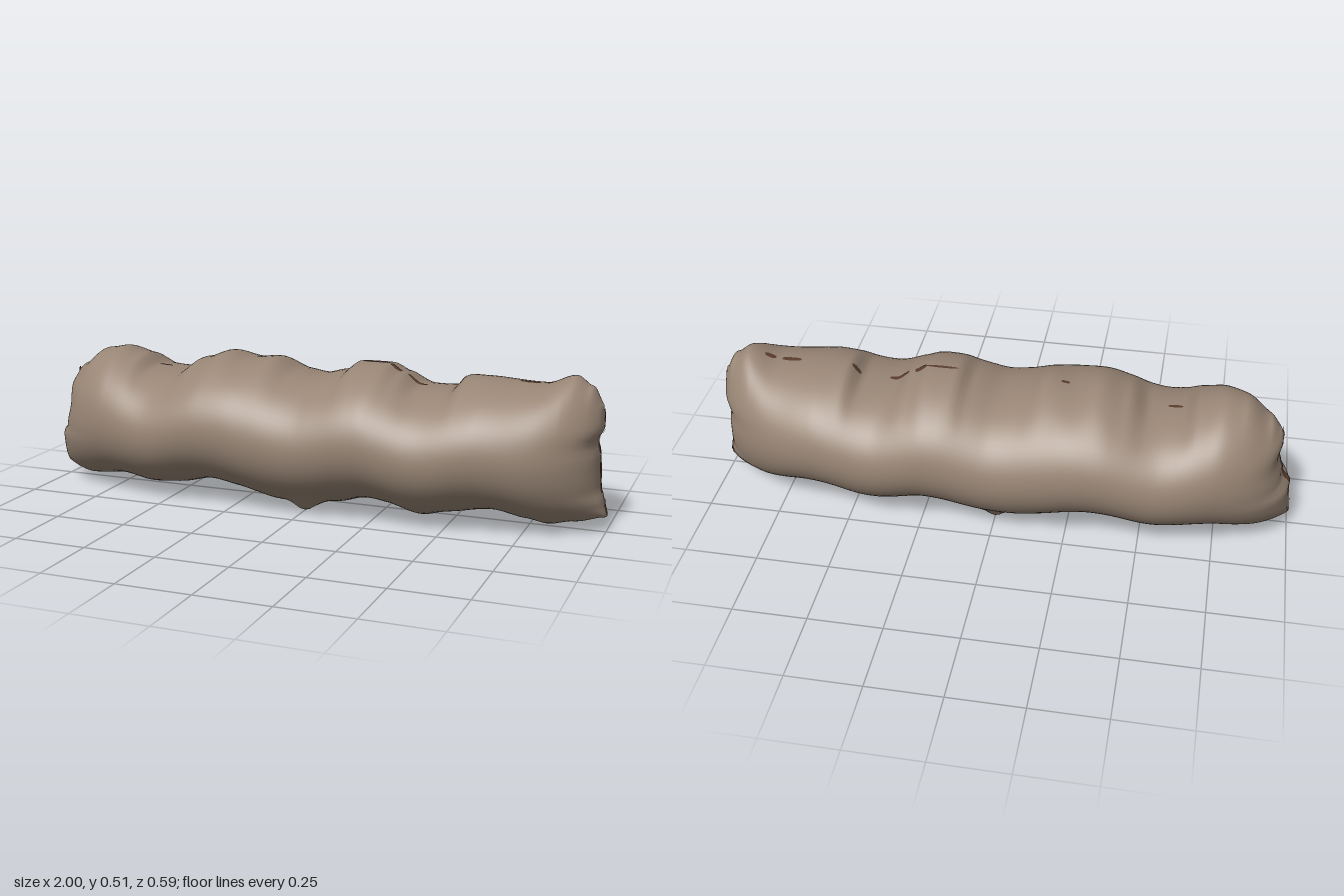
import * as THREE from 'three';
import { mergeVertices } from 'three/addons/utils/BufferGeometryUtils.js';

// outline points: [x, y] for top and bottom, [y, x] for the two ends
const TOP = [[-1, .39], [-.93, .43], [-.82, .49], [-.75, .5], [-.67, .48], [-.61, .44], [-.5, .435], [-.43, .48],
  [-.33, .51], [-.25, .49], [-.16, .5], [-.07, .46], [0, .45], [.1, .47], [.15, .505], [.25, .505], [.3, .48],
  [.37, .44], [.48, .44], [.53, .485], [.78, .475], [.89, .51], [.95, .48], [1, .42]];
const BOTTOM = [[-1, .05], [-.88, .02], [-.7, .04], [-.6, .02], [-.5, .03], [-.35, .06], [-.25, .04], [-.1, .005],
  [0, .01], [.1, .02], [.22, .05], [.3, .04], [.4, .005], [.5, .03], [.65, .055], [.75, .03], [.82, .015],
  [.9, .03], [1, .05]];
const LEFT = [[.05, 1], [.1, .99], [.15, .975], [.25, .97], [.3, .96], [.35, .98], [.42, .975]];
const RIGHT = [[.05, -1], [.18, -.99], [.22, -.96], [.3, -.94], [.36, -.95], [.4, -.94]];

// eased interpolation through a short point list
function sample(points, t) {
  if (t <= points[0][0]) return points[0][1];
  for (let i = 1; i < points.length; i++) {
    const [a, va] = points[i - 1], [b, vb] = points[i];
    if (t <= b) return THREE.MathUtils.lerp(va, vb, THREE.MathUtils.smoothstep(t, a, b));
  }
  return points[points.length - 1][1];
}

// outline averaged along x, for the surface away from the seam
function soft(points, t) {
  let sum = 0;
  for (let k = -3; k <= 3; k++) sum += sample(points, THREE.MathUtils.clamp(t + k * .03, -1, 1));
  return sum / 7;
}

// point on the padded body: s runs along the length, a goes round the section
function surface(s, a) {
  const up = Math.sin(a), w = Math.abs(up) ** 6;
  const blend = pts => THREE.MathUtils.lerp(soft(pts, s), sample(pts, s), w);
  const top = blend(TOP), bottom = blend(BOTTOM);
  let y = (top + bottom) / 2 + up * (top - bottom) / 2;
  const z = .295 * Math.sqrt(Math.max(0, 1 - s ** 4)) * Math.cos(a);
  const end = s > 0 ? sample(LEFT, y) - 1 : sample(RIGHT, y) + 1;
  const x = s + end * Math.abs(s) ** 10;
  // flattened lip under the middle
  if (up < 0) {
    const d = Math.max(0, Math.abs(z) - .14);
    y = THREE.MathUtils.lerp(y, Math.min(y, d * (1 + 4 * d)), Math.exp(-((s / .04) ** 2)));
  }
  return [x, y, z];
}

function bodyGeometry(cols = 180, ring = 72) {
  const pos = [], index = [];
  for (let i = 0; i <= cols; i++) {
    const u = -1 + 2 * i / cols;
    const s = .5 * u + .5 * Math.sin(u * Math.PI / 2);
    for (let j = 0; j < ring; j++) {
      const p = surface(s, j / ring * Math.PI * 2);
      if (i === 0 || i === cols) p[2] = 0;
      pos.push(...p);
      if (i < cols) {
        const a = i * ring + j, b = i * ring + (j + 1) % ring;
        index.push(a, a + ring, b, b, a + ring, b + ring);
      }
    }
  }
  let g = new THREE.BufferGeometry();
  g.setAttribute('position', new THREE.Float32BufferAttribute(pos, 3));
  g.setIndex(index);
  g = mergeVertices(g, 1e-5);
  g.computeVertexNormals();
  return g;
}

// thin ribbon with rounded ends along a path, spread in z
function ribbonGeometry(path, width, steps = 16) {
  const pos = [], index = [];
  for (let i = 0; i <= steps; i++) {
    const [x, y] = path(i / steps);
    const w = width * Math.sin(Math.PI * i / steps) ** .3 + 1e-4;
    pos.push(x, y, -w, x, y, w);
    if (i < steps) index.push(2 * i, 2 * i + 1, 2 * i + 2, 2 * i + 1, 2 * i + 3, 2 * i + 2);
  }
  const g = new THREE.BufferGeometry();
  g.setAttribute('position', new THREE.Float32BufferAttribute(pos, 3));
  g.setIndex(index);
  g.computeVertexNormals();
  return g;
}

export function createModel() {
  const group = new THREE.Group();
  const bark = new THREE.MeshStandardMaterial({ color: 0x988575 });
  bark.name = 'greyBrown';
  const core = new THREE.MeshStandardMaterial({ color: 0x5a3d2e, side: THREE.DoubleSide });
  core.name = 'darkBrown';

  const add = (geometry, material, name) => {
    const mesh = new THREE.Mesh(geometry, material);
    mesh.name = name;
    group.add(mesh);
  };
  add(bodyGeometry(), bark, 'paddedLog');

  // dark core showing along the top seam: start, end, half width
  for (const [a, b, w] of [[-.61, -.56, .007], [-.23, -.2, .007], [.15, .26, .006], [.26, .3, .014],
    [.32, .39, .01], [.49, .52, .01], [.7, .77, .01], [.79, .83, .01]])
    add(ribbonGeometry(t => {
      const x = THREE.MathUtils.lerp(a, b, t);
      return [x, sample(TOP, x) + .002];
    }, w), core, 'topSeam');

  // dark core showing along both end seams: start, end, half width
  for (const [edge, side] of [[LEFT, 1], [RIGHT, -1]])
    for (const [a, b, w] of [[.055, .11, .012], [.13, .165, .013], [.172, .25, .016], [.262, .292, .011],
      [.305, .345, .013], [.365, .41, .008]])
      add(ribbonGeometry(t => {
        const y = THREE.MathUtils.lerp(a, b, t);
        return [sample(edge, y) + side * .002, y];
      }, w), core, 'endSeam');

  return group;
}
